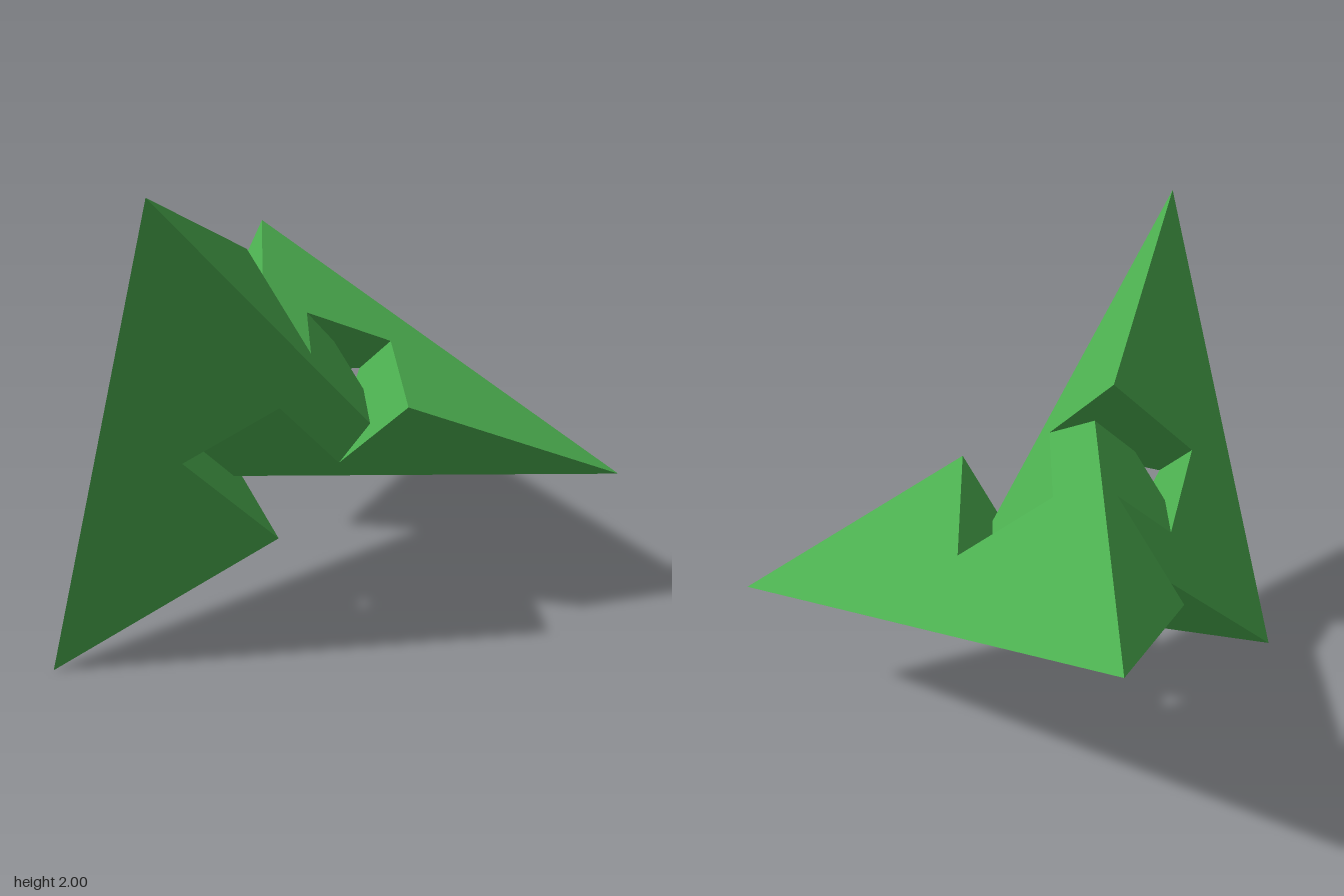
import * as THREE from 'three';

// One seed corner per ring; the other three follow from a quarter turn about z plus a flip of z.
const seeds = {
  A: [-12, 4, -11], // outer tips
  P: [-1, 7, 1],    // wing shoulders
  Q: [1, 1, -7],
  R: [-3, 3, -1],
  S: [-1, 3, -3],
  T: [4, -1, -2],
  U: [1, 1, 5],     // inner bridge
};

// Three seed heptagons, counter-clockwise seen from outside.
const faces = {
  outerWing: 'A1 P0 Q3 S3 R0 T2 A3',
  innerWing: 'A1 T0 U1 U3 S0 R1 P0',
  tunnelWall: 'Q3 P0 R1 T3 U0 S1 Q1',
};

function corner(name, shift) {
  let [x, y, z] = seeds[name[0]];
  const turns = (Number(name[1]) + shift) % 4;
  for (let i = 0; i < turns; i++) [x, y, z] = [y, -x, -z];
  return new THREE.Vector3(x / 12, y / 12 + 1, z / 12);
}

// Triangulates a flat concave polygon, keeping its winding.
function fillPolygon(points, out) {
  const normal = new THREE.Vector3();
  points.forEach((p, i) => {
    normal.add(new THREE.Vector3().crossVectors(p, points[(i + 1) % points.length]));
  });
  normal.normalize();
  const u = points[1].clone().sub(points[0]).normalize();
  const v = new THREE.Vector3().crossVectors(normal, u);
  const flat = points.map((p) => new THREE.Vector2(p.dot(u), p.dot(v)));
  for (const [a, b, c] of THREE.ShapeUtils.triangulateShape(flat, [])) {
    const ab = flat[b].clone().sub(flat[a]);
    const ac = flat[c].clone().sub(flat[a]);
    const order = ab.cross(ac) > 0 ? [a, b, c] : [a, c, b];
    order.forEach((i) => out.push(...points[i].toArray()));
  }
}

export function createModel() {
  const group = new THREE.Group();
  group.name = 'heptagonPolyhedron';
  const material = new THREE.MeshStandardMaterial({ color: 0x4caf50, flatShading: true });

  for (const [name, loop] of Object.entries(faces)) {
    for (let k = 0; k < 4; k++) {
      const points = loop.split(' ').map((n) => corner(n, k));
      if (k % 2) points.reverse(); // odd steps mirror the face
      const out = [];
      fillPolygon(points, out);
      const geometry = new THREE.BufferGeometry();
      geometry.setAttribute('position', new THREE.Float32BufferAttribute(out, 3));
      geometry.computeVertexNormals();
      const mesh = new THREE.Mesh(geometry, material);
      mesh.name = name + (k + 1);
      group.add(mesh);
    }
  }
  return group;
}
